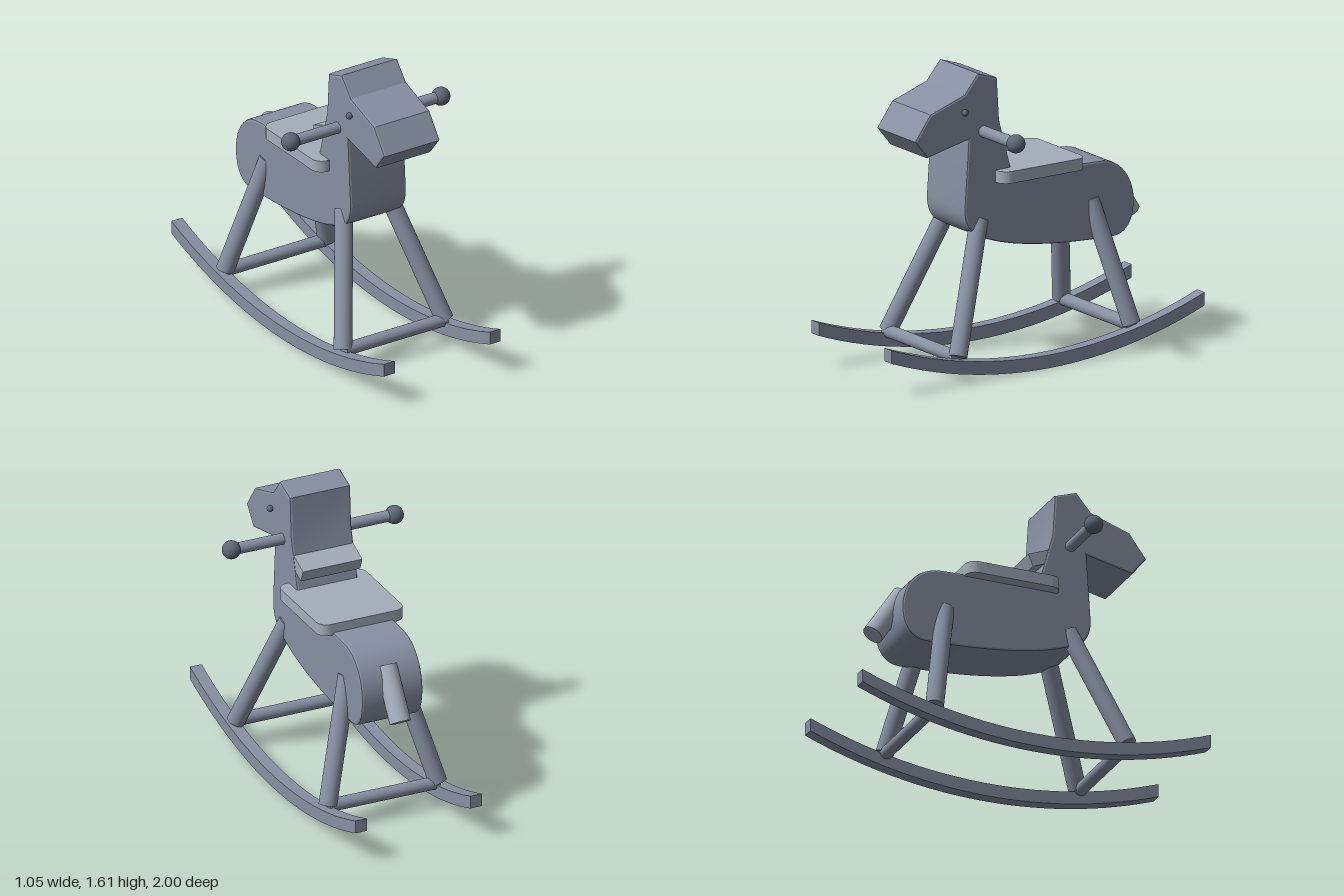
import * as THREE from 'three';
import { toCreasedNormals } from 'three/addons/utils/BufferGeometryUtils.js';

const wood = new THREE.MeshStandardMaterial({ color: 0x8790a2 });
const paleWood = new THREE.MeshStandardMaterial({ color: 0xa4adba });
const darkWood = new THREE.MeshStandardMaterial({ color: 0x5e6776 });
const V = (x, y, z) => new THREE.Vector3(x, y, z);

export function createModel() {
  const group = new THREE.Group();

  const add = (name, geometry, position = V(0, 0, 0), material = wood) => {
    const mesh = new THREE.Mesh(geometry, material);
    mesh.name = name;
    mesh.position.copy(position);
    group.add(mesh);
    return mesh;
  };

  // Round rod between two points
  const rod = (name, a, b, radius, material = wood) => {
    const dir = b.clone().sub(a);
    const mesh = add(name, new THREE.CylinderGeometry(radius, radius, dir.length(), 32),
      a.clone().add(b).multiplyScalar(0.5), material);
    mesh.quaternion.setFromUnitVectors(V(0, 1, 0), dir.normalize());
  };

  // Side profile (z, y) extruded across x and centred on x = 0
  const sideExtrude = (shape, width, bevel = 0) => {
    const depth = width - 2 * bevel;
    const geometry = new THREE.ExtrudeGeometry(shape, {
      depth, curveSegments: 20, bevelEnabled: bevel > 0,
      bevelSize: bevel, bevelThickness: bevel, bevelOffset: -bevel, bevelSegments: 2,
    });
    geometry.translate(0, 0, -depth / 2).rotateY(-Math.PI / 2);
    return toCreasedNormals(geometry, 0.3);
  };

  // Body, neck and head cut from one thick board
  const body = new THREE.Shape();
  body.moveTo(0.315, 1.61);
  body.lineTo(0.4, 1.508);
  body.lineTo(0.62, 1.433);
  body.lineTo(0.717, 1.3);
  body.lineTo(0.635, 1.198);
  body.lineTo(0.374, 1.257);
  body.lineTo(0.4, 0.88);
  body.bezierCurveTo(0.4, 0.8, 0.37, 0.75, 0.3, 0.72);
  body.bezierCurveTo(0.1, 0.62, -0.25, 0.59, -0.55, 0.585);
  body.bezierCurveTo(-0.64, 0.585, -0.685, 0.66, -0.685, 0.765);
  body.bezierCurveTo(-0.685, 0.89, -0.6, 1.01, -0.45, 1.012);
  body.lineTo(-0.33, 1.016);
  body.lineTo(0.09, 1.02);
  body.lineTo(0.176, 1.337);
  body.lineTo(0.19, 1.567);
  body.closePath();
  add('body', sideExtrude(body, 0.355, 0.012));

  // Seat board with rounded corners
  const w = 0.248, d = 0.268, r = 0.06;
  const seat = new THREE.Shape();
  seat.absarc(w - r, d - r, r, 0, Math.PI / 2);
  seat.absarc(-w + r, d - r, r, Math.PI / 2, Math.PI);
  seat.absarc(-w + r, -d + r, r, Math.PI, Math.PI * 1.5);
  seat.absarc(w - r, -d + r, r, Math.PI * 1.5, Math.PI * 2);
  const seatGeometry = new THREE.ExtrudeGeometry(seat, { depth: 0.065, bevelEnabled: false, curveSegments: 8 });
  seatGeometry.rotateX(-Math.PI / 2);
  add('seat', toCreasedNormals(seatGeometry, 0.5), V(0, 1.002, -0.065), paleWood);

  // Tilted block behind the neck
  const block = add('neckBlock', new THREE.BoxGeometry(0.345, 0.072, 0.14), V(0, 1.195, 0.118), paleWood);
  block.rotation.x = -0.38;

  // Tail
  rod('tail', V(0, 0.91, -0.607), V(0, 0.652, -0.777), 0.057, paleWood);

  // Handlebar through the head
  rod('handlebar', V(-0.475, 1.29, 0.28), V(0.475, 1.29, 0.28), 0.031);

  // Curved rocker runner profile with upright ends
  const R = 2.82, thickness = 0.072, steps = 28;
  const arc = (z) => R - Math.sqrt(R * R - z * z);
  const runner = new THREE.Shape();
  for (let i = 0; i <= steps; i++) {
    const z = -1 + (2 * i) / steps;
    if (i === 0) runner.moveTo(z, arc(z));
    else runner.lineTo(z, arc(z));
  }
  for (let i = steps; i >= 0; i--) {
    const z = -1 + (2 * i) / steps;
    runner.lineTo(z, arc(z) + thickness);
  }
  runner.closePath();
  const runnerGeometry = sideExtrude(runner, 0.068);

  // Mirrored parts
  for (const [side, s] of [['left', 1], ['right', -1]]) {
    add(side + 'Runner', runnerGeometry, V(s * 0.334, 0, 0));
    rod(side + 'FrontLeg', V(s * 0.14, 0.805, 0.283), V(s * 0.32, 0.137, 0.543), 0.049);
    rod(side + 'BackLeg', V(s * 0.14, 0.805, -0.425), V(s * 0.32, 0.143, -0.565), 0.049);
    add(side + 'HandleKnob', new THREE.SphereGeometry(0.05, 32, 20), V(s * 0.474, 1.29, 0.28), darkWood);
    add(side + 'Eye', new THREE.SphereGeometry(0.018, 20, 14), V(s * 0.189, 1.413, 0.405), darkWood);
  }

  // Crossbars joining the feet
  rod('frontCrossbar', V(-0.32, 0.137, 0.55), V(0.32, 0.137, 0.55), 0.035);
  rod('backCrossbar', V(-0.32, 0.137, -0.565), V(0.32, 0.137, -0.565), 0.035);

  return group;
}
